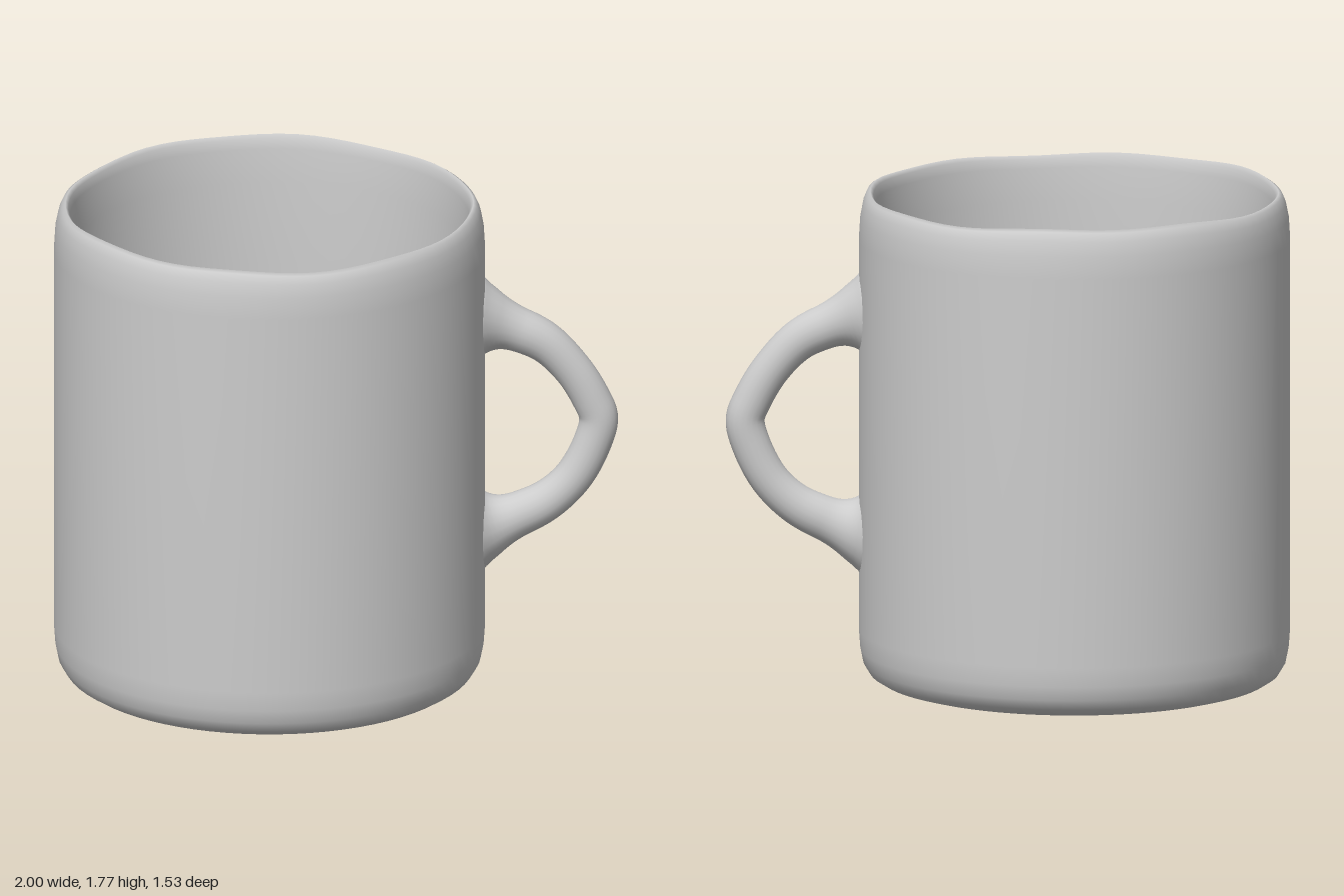
import * as THREE from 'three';
import { mergeVertices } from 'three/addons/utils/BufferGeometryUtils.js';

const BODY_X = -0.235;

// Closed mug wall: underside, outer wall, rounded rim, inner wall, floor
function bodyGeometry() {
  const profile = [
    [0, 0.004], [0.6, 0.004], [0.64, 0.006], [0.69, 0.02], [0.725, 0.042], [0.748, 0.08],
    [0.758, 0.13], [0.763, 0.2], [0.763, 0.9], [0.763, 1.6], [0.758, 1.68], [0.748, 1.73],
    [0.735, 1.76], [0.722, 1.768], [0.711, 1.755], [0.706, 1.72], [0.697, 1.6],
    [0.69, 1.3], [0.686, 0.7], [0.684, 0.17], [0.676, 0.13], [0.655, 0.112],
    [0.62, 0.11], [0, 0.11],
  ].map(([r, y]) => new THREE.Vector2(r, y));
  const geo = new THREE.LatheGeometry(profile, 72);
  // Slight hand-made unevenness along the rim
  const p = geo.attributes.position;
  for (let i = 0; i < p.count; i++) {
    const y = p.getY(i);
    if (y < 1.65) continue;
    const a = Math.atan2(p.getZ(i), p.getX(i));
    const k = (y - 1.65) / 0.12;
    p.setY(i, y + k * (0.006 * Math.sin(3 * a + 0.5) + 0.004 * Math.sin(8 * a)));
  }
  return geo;
}

// Round loop handle whose ends flare out into the wall
function handleGeometry() {
  const path = new THREE.CatmullRomCurve3([
    [0.48, 1.325], [0.55, 1.315], [0.63, 1.29], [0.74, 1.235], [0.84, 1.13], [0.905, 1.02],
    [0.93, 0.95], [0.905, 0.85], [0.84, 0.73], [0.75, 0.645], [0.64, 0.59], [0.55, 0.56], [0.48, 0.55],
  ].map(([x, y]) => new THREE.Vector3(x, y, 0)));
  const rings = 72, sides = 20;
  const geo = new THREE.TubeGeometry(path, rings, 1, sides, false);
  const p = geo.attributes.position;
  const v = new THREE.Vector3();
  for (let i = 0; i <= rings; i++) {
    const c = path.getPointAt(i / rings);
    const near = THREE.MathUtils.clamp((0.66 - c.x) / 0.16, 0, 1);
    const radius = 0.069 + 0.012 * THREE.MathUtils.smoothstep(0.85 - c.x, 0, 0.25) + 0.085 * near ** 2.2;
    for (let j = 0; j <= sides; j++) {
      const n = i * (sides + 1) + j;
      v.fromBufferAttribute(p, n).sub(c).multiplyScalar(radius);
      v.z *= 0.93;
      v.add(c);
      p.setXYZ(n, Math.max(v.x, 0.47), v.y, v.z);
    }
  }
  geo.deleteAttribute('uv');
  geo.deleteAttribute('normal');
  const smooth = mergeVertices(geo, 1e-5);
  smooth.computeVertexNormals();
  return smooth;
}

export function createModel() {
  const ceramic = new THREE.MeshStandardMaterial({ color: 0xcccccc });
  ceramic.name = 'lightGreyCeramic';

  const mug = new THREE.Group();
  mug.name = 'mug';

  const body = new THREE.Mesh(bodyGeometry(), ceramic);
  body.name = 'body';
  body.position.x = BODY_X;

  const handle = new THREE.Mesh(handleGeometry(), ceramic);
  handle.name = 'handle';

  mug.add(body, handle);
  return mug;
}
